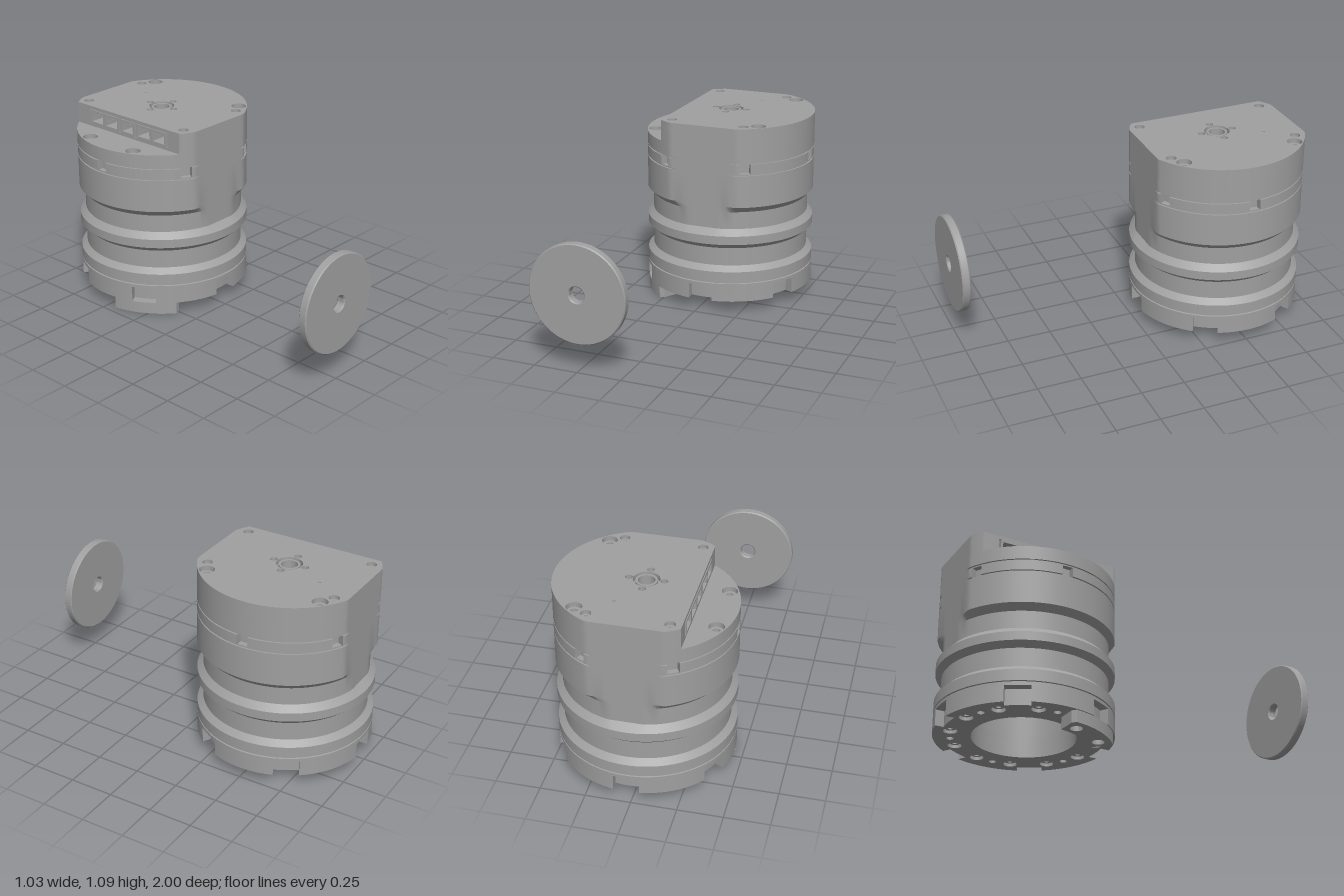
import * as THREE from 'three';
import { toCreasedNormals } from 'three/addons/utils/BufferGeometryUtils.js';

const R = 0.488, FLAT = 0.445, WALL = -0.275;
const rad = (d) => d * Math.PI / 180;

export function createModel() {
  const model = new THREE.Group();
  const grey = new THREE.MeshStandardMaterial({ color: 0xa0a0a0 });
  grey.name = 'machined grey';

  const add = (parent, name, geometry) => {
    const mesh = new THREE.Mesh(toCreasedNormals(geometry, 0.45), grey);
    mesh.name = name;
    parent.add(mesh);
    return mesh;
  };
  const circle = (x, y, r) => new THREE.Path().absarc(x, y, r, 0, Math.PI * 2);

  // Round outline with optional side flats, step wall and notches (plan: y is -z)
  const outline = (r, { flat = Infinity, wall = -Infinity, notches = [], half = 0, depth = 0 } = {}) => {
    const samples = [];
    const inNotch = (a) => notches.find((n) => Math.cos(a - n) > Math.cos(half) + 1e-6);
    for (let i = 0; i < 180; i++) {
      const a = rad(i * 2 + 0.37);
      samples.push([a, inNotch(a)]);
    }
    for (const n of notches) {
      for (const s of [-1, 1]) {
        const a = (n + s * half + Math.PI * 4) % (Math.PI * 2);
        samples.push([a + s * 1e-5, undefined], [a - s * 1e-5, n]);
      }
    }
    samples.sort((p, q) => p[0] - q[0]);
    return new THREE.Shape(samples.map(([a, n]) => {
      let x = Math.max(wall, r * Math.cos(a));
      let y = THREE.MathUtils.clamp(r * Math.sin(a), -flat, flat);
      if (n !== undefined) {
        x -= depth * Math.cos(n);
        y -= depth * Math.sin(n);
      }
      return new THREE.Vector2(x, y);
    }));
  };

  // Horizontal slab from y0 to y1 with round holes [x, y, radius]
  const slab = (parent, name, shape, y0, y1, holes = []) => {
    for (const h of holes) shape.holes.push(circle(...h));
    const g = new THREE.ExtrudeGeometry(shape, { depth: y1 - y0, bevelEnabled: false, curveSegments: 24 });
    g.rotateX(-Math.PI / 2).translate(0, y0, 0);
    return add(parent, name, g);
  };
  const ring = (parent, name, x, y, rOut, rIn, y0, y1) => {
    const s = new THREE.Shape();
    s.absarc(x, y, rOut, 0, Math.PI * 2);
    return slab(parent, name, s, y0, y1, [[x, y, rIn]]);
  };

  const body = new THREE.Group();
  body.name = 'housing';
  body.position.set(0.025, 0, -0.51);
  model.add(body);

  // Notched base flange with its bolt circle
  const sixth = [0, 1, 2, 3, 4, 5];
  const bolts = [];
  for (let i = 0; i < 12; i++) {
    const a = rad(15 + 30 * i);
    bolts.push([0.395 * Math.cos(a), 0.395 * Math.sin(a), 0.038]);
  }
  const pins = sixth.map((i) => [0.395 * Math.cos(rad(60 * i)), 0.395 * Math.sin(rad(60 * i)), 0.02]);
  slab(body, 'baseFlange',
    outline(R, { notches: sixth.map((i) => rad(30 + 60 * i)), half: 0.144, depth: 0.05 }),
    0.07, 0.16, [[0, 0, 0.283], ...bolts, ...pins]);
  for (const [x, y] of bolts) ring(body, 'baseBolt', x, y, 0.03, 0.015, 0.085, 0.16);

  // Waisted hollow barrel; side flats pressed into the upper part
  const profile = [
    [0.283, 0.16], [R, 0.16], [R, 0.178], [0.48, 0.18], [0.48, 0.184], [R, 0.186],
    [R, 0.25], [0.455, 0.28], [0.455, 0.385], [R, 0.415], [R, 0.465], [0.455, 0.5],
    [0.455, 0.6], [R, 0.635], [R, 0.82], [0.3, 0.82], [0.3, 0.5], [0.34, 0.5],
    [0.34, 0.3], [0.3, 0.3], [0.3, 0.2], [0.283, 0.2], [0.283, 0.16],
  ].map(([x, y]) => new THREE.Vector2(x, y));
  const barrel = new THREE.LatheGeometry(profile, 144);
  const p = barrel.attributes.position;
  for (let i = 0; i < p.count; i++) {
    if (p.getY(i) > 0.49) p.setZ(i, THREE.MathUtils.clamp(p.getZ(i), -FLAT, FLAT));
  }
  add(body, 'barrel', barrel);

  // Seams and slotted band below the cap
  const bore = [[0, 0, 0.3]];
  slab(body, 'lowerSeam', outline(0.478, { flat: FLAT }), 0.82, 0.828, bore);
  slab(body, 'slottedBand',
    outline(R, { flat: FLAT, notches: sixth.map((i) => rad(60 * i)), half: 0.064, depth: 0.04 }),
    0.828, 0.886, bore);
  slab(body, 'upperSeam', outline(0.478, { flat: FLAT }), 0.886, 0.893, bore);

  // Cap: full lower deck, then the raised deck cut back to a step wall
  const stepBolts = [[-0.405, 0.17, 0.042], [-0.405, -0.17, 0.042]];
  const deckBolts = [[0.288, 0.333, 0.042], [0.288, -0.333, 0.042]];
  const small = [-1, 1].flatMap((s) => [-1, 1].map((t) => [s * 0.215, t * 0.375, 0.028]));
  const cross = sixth.slice(0, 4).map((i) => [0.094 * Math.cos(rad(90 * i)), 0.094 * Math.sin(rad(90 * i)), 0.02]);
  const deckHoles = [[0, 0, 0.071], ...deckBolts, ...small, ...cross, [0.108, 0.235, 0.008]];
  slab(body, 'lowerDeck', outline(R, { flat: FLAT }), 0.893, 0.97, [[0, 0, 0.045], ...stepBolts]);
  const cut = { flat: FLAT, wall: WALL };
  slab(body, 'raisedDeckSill', outline(R, cut), 0.97, 0.985, deckHoles);
  slab(body, 'raisedDeckSocketLayer',
    outline(R, { ...cut, notches: [Math.PI], half: Math.asin(0.31 / R), depth: 0.09 }),
    0.985, 1.07, deckHoles);
  slab(body, 'raisedDeckTop', outline(R, cut), 1.07, 1.09, deckHoles);

  // Centre collar and recessed screw heads
  ring(body, 'shaftCollar', 0, 0, 0.058, 0.045, 0.97, 1.085);
  ring(body, 'shaftSeat', 0, 0, 0.071, 0.045, 0.97, 1.06);
  for (const [x, y] of stepBolts) ring(body, 'stepBolt', x, y, 0.038, 0.02, 0.893, 0.945);
  for (const [x, y] of deckBolts) ring(body, 'deckBolt', x, y, 0.038, 0.02, 0.97, 1.065);
  for (const [x, y] of small) ring(body, 'deckScrew', x, y, 0.026, 0.012, 0.97, 1.07);

  // Connector sockets in the step wall
  for (const [z, width, cells] of [[-0.185, 0.23, 2], [0, 0.11, 1], [0.185, 0.23, 2]]) {
    const s = new THREE.Shape();
    s.moveTo(-width / 2, 0).lineTo(width / 2, 0).lineTo(width / 2, 0.083).lineTo(-width / 2, 0.083);
    for (let i = 0; i < cells; i++) {
      const c = (i - (cells - 1) / 2) * width / cells;
      const h = width / cells / 2 - 0.012;
      const hole = new THREE.Path();
      hole.moveTo(c - h, 0.014).lineTo(c + h, 0.014).lineTo(c + h, 0.069).lineTo(c - h, 0.069);
      s.holes.push(hole);
      for (const t of [-0.4, 0.4]) {
        const pin = add(body, 'connectorPin', new THREE.BoxGeometry(0.06, 0.014, 0.014));
        pin.position.set(-0.215, 1.028, z + c + t * h);
      }
    }
    const g = new THREE.ExtrudeGeometry(s, { depth: 0.094, bevelEnabled: false });
    g.rotateY(-Math.PI / 2);
    add(body, 'connectorShell', g).position.set(-0.185, 0.986, z);
  }

  // Curved foot pad under the flange
  const foot = new THREE.Shape();
  foot.absarc(0, 0, 0.484, rad(188), rad(232), false);
  foot.absarc(0, 0, 0.46, rad(234), rad(234), false);
  foot.absarc(0, 0, 0.355, rad(233), rad(187), true);
  foot.absarc(0, 0, 0.46, rad(186), rad(186), false);
  slab(body, 'footPad', foot, 0, 0.068,
    [195, 225].map((d) => [0.415 * Math.cos(rad(d)), 0.415 * Math.sin(rad(d)), 0.034]));

  // Separate disc standing in front
  const disc = new THREE.Shape();
  disc.absarc(0, 0, 0.276, 0, Math.PI * 2);
  disc.holes.push(circle(0, 0, 0.043));
  const dg = new THREE.ExtrudeGeometry(disc, {
    depth: 0.036, bevelSize: 0.006, bevelThickness: 0.006, bevelOffset: -0.006, bevelSegments: 1, curveSegments: 72,
  });
  add(model, 'disc', dg).position.set(-0.242, 0.434, 0.958);

  return model;
}
